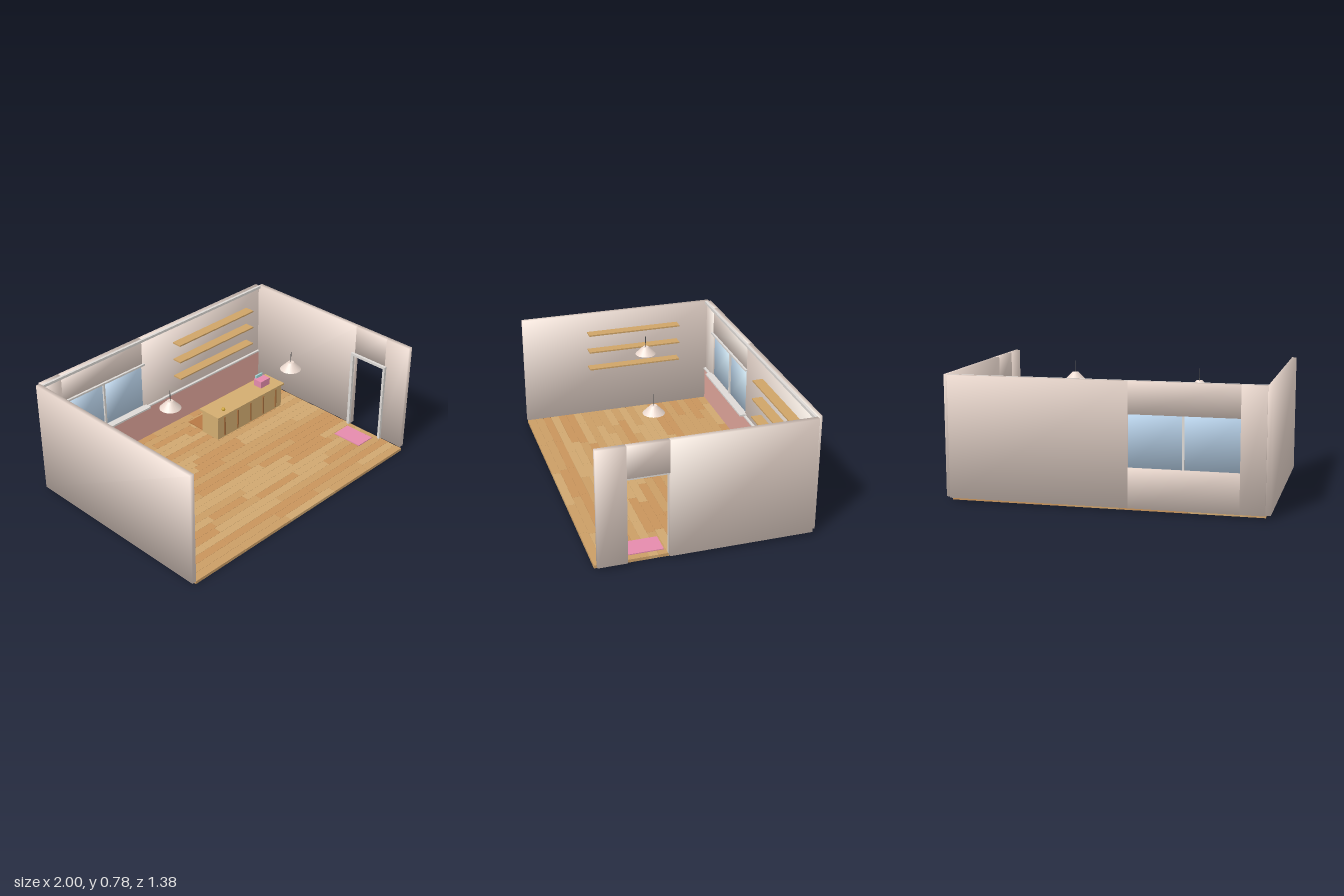
import * as THREE from 'three';

const mat = (color) => new THREE.MeshStandardMaterial({ color });
const M = {
  wall: mat(0xead8ce), trim: mat(0xdedad6), pink: mat(0xe0a59a), glass: mat(0xbcd6ee),
  wood: mat(0xcfa468), counter: mat(0xd3ad70), slat: mat(0xa9713f), mat: mat(0xb87945),
  rose: mat(0xe58bad), teal: mat(0xa5d8d8), brass: mat(0xc9a02c), cord: mat(0x555555),
  planks: [mat(0xd0a870), mat(0xc8945c), mat(0xcb9e66)],
};

export function createModel() {
  const root = new THREE.Group();
  const group = (name) => {
    const g = new THREE.Group();
    g.name = name;
    root.add(g);
    return g;
  };

  // box given by its extents on each axis
  const box = (parent, name, material, [x0, x1], [y0, y1], [z0, z1]) => {
    const geo = new THREE.BoxGeometry(x1 - x0, y1 - y0, z1 - z0);
    const mesh = new THREE.Mesh(geo, material);
    mesh.name = name;
    mesh.position.set((x0 + x1) / 2, (y0 + y1) / 2, (z0 + z1) / 2);
    parent.add(mesh);
    return mesh;
  };
  // box with normals shared across its corners, for soft shading
  const softBox = (...args) => {
    const mesh = box(...args);
    const { position: p, normal: n } = mesh.geometry.attributes;
    const v = new THREE.Vector3();
    for (let i = 0; i < p.count; i++) {
      v.fromBufferAttribute(p, i);
      v.set(Math.sign(v.x), Math.sign(v.y), Math.sign(v.z)).normalize();
      n.setXYZ(i, v.x, v.y, v.z);
    }
    return mesh;
  };

  // floor of staggered planks
  let seed = 7;
  const rand = () => (seed = (seed * 16807) % 2147483647) / 2147483647;
  const floor = group('floor');
  const rows = 24, z0 = -0.652, rowDepth = 1.337 / rows;
  for (let r = 0; r < rows; r++) {
    let x = -0.97, length = 0.12 + 0.33 * rand();
    while (x < 0.965) {
      let end = x + length;
      if (end > 0.9) end = 0.965;
      box(floor, 'plank', M.planks[Math.floor(rand() * 3)], [x, end - 0.001], [0, 0.02],
        [z0 + r * rowDepth, z0 + (r + 1) * rowDepth - 0.001]);
      x = end;
      length = 0.3 + 0.15 * rand();
    }
  }

  // walls, split around the window and the doorway
  const walls = group('walls');
  const H = [0.02, 0.78], back = [-0.69, -0.66], side = [0.967, 1];
  softBox(walls, 'leftSideWall', M.wall, [-1, -0.97], H, [-0.675, 0.685]);
  softBox(walls, 'backWallCorner', M.wall, [-0.97, -0.82], H, back);
  softBox(walls, 'backWallMain', M.wall, [-0.155, 0.967], H, back);
  softBox(walls, 'wallBelowWindow', M.wall, [-0.82, -0.155], [0.02, 0.265], back);
  softBox(walls, 'wallAboveWindow', M.wall, [-0.82, -0.155], [0.585, 0.78], back);
  softBox(walls, 'doorSideWall', M.wall, side, H, [-0.66, 0.237]);
  softBox(walls, 'doorFrontWall', M.wall, side, H, [0.49, 0.67]);
  softBox(walls, 'wallAboveDoor', M.wall, side, [0.577, 0.78], [0.237, 0.49]);

  // lower wall panel and mouldings
  box(walls, 'lowerPanel', M.pink, [-0.97, 0.965], [0.02, 0.25], [-0.66, -0.652]);
  box(walls, 'panelRail', M.trim, [-0.97, 0.965], [0.25, 0.26], [-0.66, -0.643]);
  box(walls, 'crownMoulding', M.trim, [-0.97, 0.965], [0.763, 0.78], [-0.66, -0.643]);

  // window
  const win = group('window');
  softBox(win, 'leftPane', M.glass, [-0.82, -0.492], [0.265, 0.585], [-0.68, -0.672]);
  softBox(win, 'rightPane', M.glass, [-0.478, -0.155], [0.265, 0.585], [-0.68, -0.672]);
  box(win, 'mullion', M.trim, [-0.492, -0.478], [0.265, 0.585], [-0.683, -0.66]);
  box(win, 'sill', M.trim, [-0.845, -0.135], [0.258, 0.27], [-0.665, -0.615]);
  box(win, 'headCasing', M.trim, [-0.835, -0.145], [0.583, 0.595], [-0.665, -0.645]);

  // doorway trim
  const door = group('doorFrame');
  for (const z of [[0.217, 0.237], [0.488, 0.505]])
    box(door, 'doorCasing', M.trim, [0.948, 0.967], [0.02, 0.57], z);
  box(door, 'doorHeadCasing', M.trim, [0.948, 0.967], [0.565, 0.582], [0.217, 0.505]);
  box(door, 'doorLintel', M.trim, [0.967, 0.992], [0.563, 0.577], [0.237, 0.49]);

  // wall shelves
  const shelves = group('shelves');
  for (const y of [0.385, 0.515, 0.643]) {
    box(shelves, 'sideShelf', M.wood, [-0.97, -0.9], [y - 0.005, y + 0.005], [-0.43, 0.23]);
    box(shelves, 'backShelf', M.wood, [0.125, 0.84], [y - 0.005, y + 0.005], [-0.66, -0.59]);
  }

  // service counter
  const counter = group('counter');
  box(counter, 'counterBody', M.counter, [0.165, 0.8], [0.02, 0.192], [-0.425, -0.272]);
  box(counter, 'counterTop', M.counter, [0.15, 0.81], [0.192, 0.206], [-0.435, -0.255]);
  for (let i = 0; i < 5; i++) {
    const x = 0.227 + i * 0.128;
    box(counter, 'counterSlat', M.slat, [x - 0.005, x + 0.005], [0.035, 0.178], [-0.272, -0.265]);
  }

  // bell and till on the counter
  const bell = new THREE.Mesh(new THREE.SphereGeometry(0.013, 16, 10), M.brass);
  bell.name = 'bell';
  bell.position.set(0.25, 0.215, -0.305);
  counter.add(bell);
  const till = group('till');
  box(till, 'tillBody', M.rose, [0.64, 0.73], [0.206, 0.256], [-0.39, -0.32]);
  box(till, 'tillScreen', M.teal, [0.655, 0.72], [0.256, 0.276], [-0.392, -0.38]);

  // floor mats
  const mats = group('floorMats');
  box(mats, 'counterMat', M.mat, [0.175, 0.785], [0.02, 0.026], [-0.575, -0.435]);
  box(mats, 'doorMat', M.rose, [0.78, 0.92], [0.02, 0.026], [0.25, 0.465]);

  // hanging lamps
  for (const [x, z] of [[-0.465, -0.05], [0.405, 0.155]]) {
    const lamp = group('pendantLamp');
    lamp.position.set(x, 0, z);
    const shade = new THREE.Mesh(new THREE.CylinderGeometry(0.02, 0.068, 0.05, 20), M.wall);
    shade.name = 'lampShade';
    shade.position.y = 0.682;
    const cord = new THREE.Mesh(new THREE.CylinderGeometry(0.002, 0.002, 0.073, 6), M.cord);
    cord.name = 'lampCord';
    cord.position.y = 0.7435;
    lamp.add(shade, cord);
  }
  return root;
}
